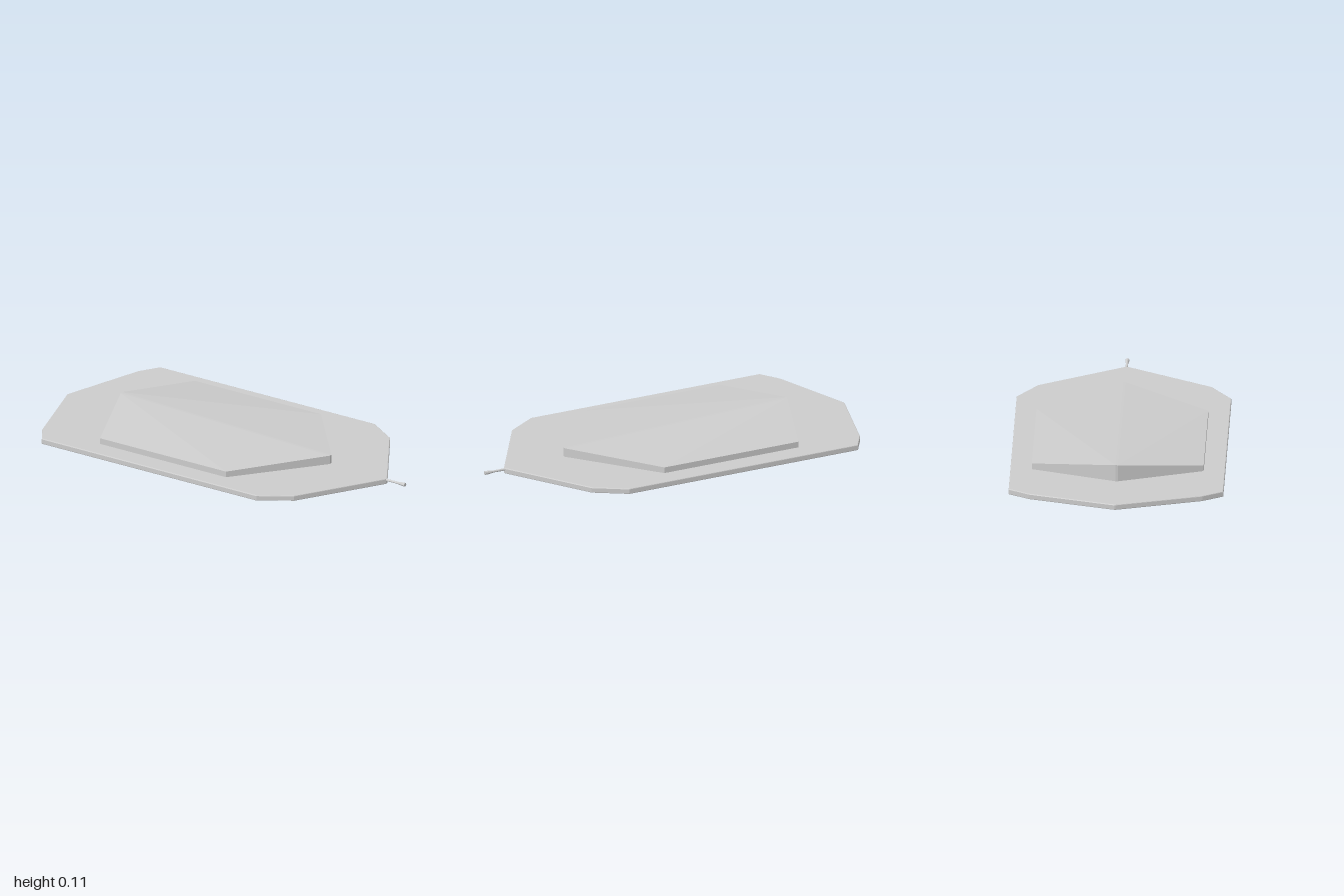
import * as THREE from 'three';

const material = new THREE.MeshStandardMaterial({ color: 0xcccccc, flatShading: true });

// Mirrors a half outline of [x, z] points into a closed loop
const mirrorOutline = half => [...half, ...half.slice().reverse().map(([x, z, y]) => [x, -z, y])];

function part(name, geometry) {
  const mesh = new THREE.Mesh(geometry, material);
  mesh.name = name;
  return mesh;
}

// Flat hull slab with a narrow bevel around its rim
function hullGeometry() {
  const outline = mirrorOutline([
    [-0.996, 0.004], [-0.863, 0.427], [-0.8, 0.527], [0.468, 0.527], [0.624, 0.427], [0.886, 0.006],
  ]);
  const shape = new THREE.Shape(outline.map(([x, z]) => new THREE.Vector2(x, -z)));
  const geometry = new THREE.ExtrudeGeometry(shape, {
    depth: 0.021, bevelEnabled: true, bevelThickness: 0.004, bevelSize: 0.004, bevelSegments: 2,
  });
  return geometry.rotateX(-Math.PI / 2).translate(0, 0.005, 0);
}

// Six-sided deckhouse: vertical walls under two slopes that meet at a falling ridge
function deckhouseGeometry() {
  const base = 0.028;
  const loop = mirrorOutline([
    [-0.68, 0.007, 0.115], [-0.527, 0.425, 0.06], [0.22, 0.425, 0.06], [0.558, 0.007, 0.075],
  ]);
  const n = loop.length;
  const positions = [
    ...loop.flatMap(([x, z, y]) => [x, y, z]),
    ...loop.flatMap(([x, z]) => [x, base, z]),
  ];
  const indices = [];
  for (let i = 0; i < n; i++) {
    const j = (i + 1) % n;
    indices.push(i, i + n, j + n, i, j + n, j);
  }
  // Left slope, right slope and the narrow ridge strip
  indices.push(0, 1, 2, 0, 2, 3, 7, 5, 6, 7, 4, 5, 0, 3, 4, 0, 4, 7);
  // Underside
  for (let i = 1; i < n - 1; i++) indices.push(n, n + i + 1, n + i);
  const geometry = new THREE.BufferGeometry();
  geometry.setAttribute('position', new THREE.Float32BufferAttribute(positions, 3));
  geometry.setIndex(indices);
  geometry.computeVertexNormals();
  return geometry;
}

// Thin nozzle with a flared tip, turned about the long axis
function nozzleGeometry() {
  const profile = [[0, 0.87], [0.007, 0.87], [0.006, 0.94], [0.006, 0.955], [0.01, 0.985], [0.01, 1], [0, 1]];
  return new THREE.LatheGeometry(profile.map(([r, y]) => new THREE.Vector2(r, y)), 8)
    .rotateZ(-Math.PI / 2).translate(0, 0.022, 0);
}

export function createModel() {
  const model = new THREE.Group();
  model.name = 'lowCraft';
  model.add(
    part('hull', hullGeometry()),
    part('deckhouse', deckhouseGeometry()),
    part('bowNozzle', nozzleGeometry()),
  );
  return model;
}
